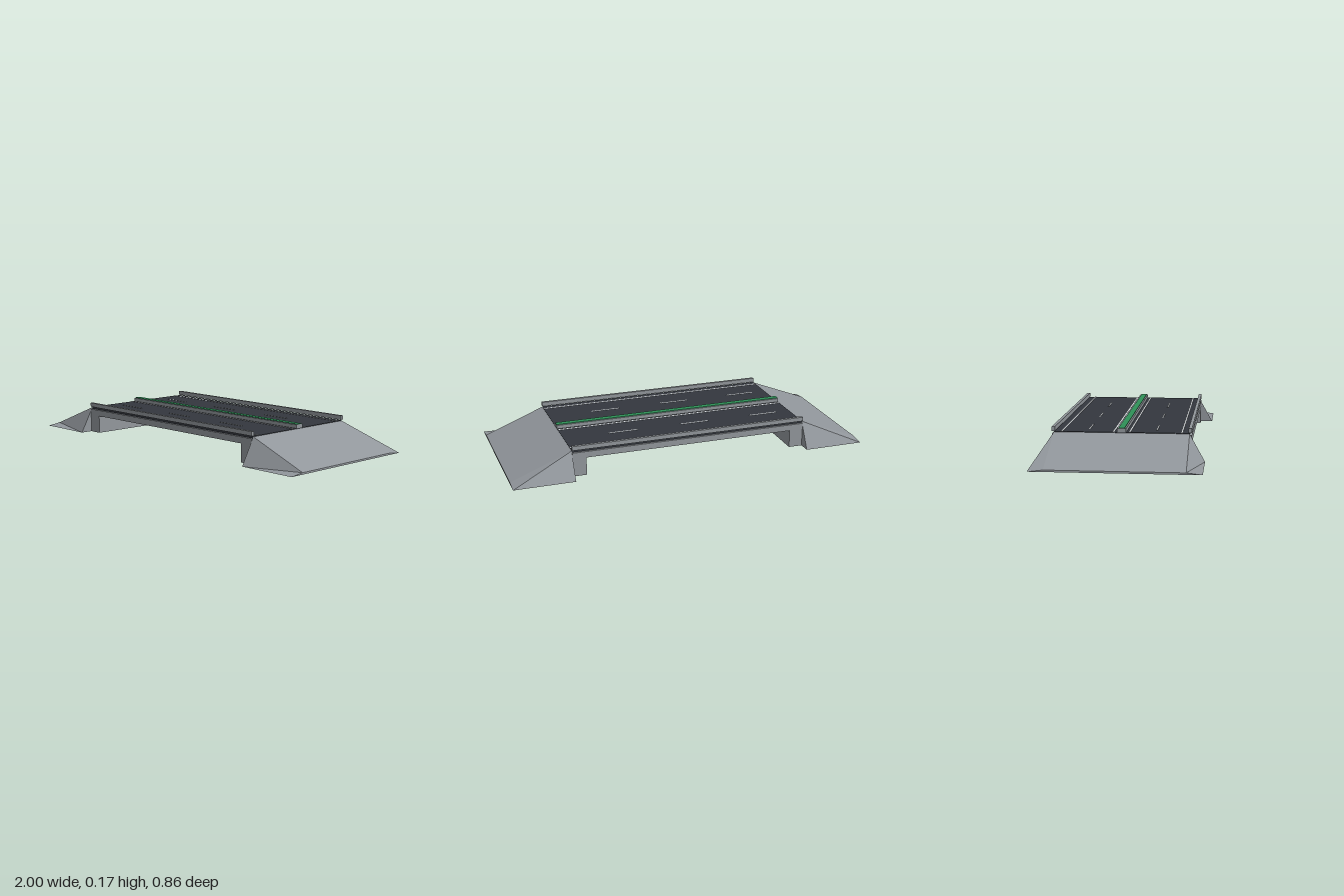
import * as THREE from 'three';

const mat = (name, color) => {
  const m = new THREE.MeshStandardMaterial({ color });
  m.name = name;
  return m;
};

// Embankment: two trapezoid cross-sections joined into a sloping wedge
function embankmentGeometry(side) {
  const top = 0.35, foot = 0.43;
  const section = (x, h) => [[x, 0, foot], [x, h, top], [x, h, -top], [x, 0, -foot]];
  const inner = section(side * 0.665, 0.143);
  const outer = section(side, 0.01);
  const pos = [];
  const quad = (a, b, c, d) => {
    const order = side > 0 ? [a, b, c, a, c, d] : [a, c, b, a, d, c];
    order.forEach((p) => pos.push(...p));
  };
  for (let i = 0; i < 4; i++) {
    const j = (i + 1) % 4;
    quad(inner[i], outer[i], outer[j], inner[j]);
  }
  quad(outer[0], outer[3], outer[2], outer[1]);
  quad(inner[0], inner[1], inner[2], inner[3]);
  const g = new THREE.BufferGeometry();
  g.setAttribute('position', new THREE.Float32BufferAttribute(pos, 3));
  g.computeVertexNormals();
  return g;
}

export function createModel() {
  const model = new THREE.Group();
  model.name = 'roadBridge';
  const concrete = mat('concrete', 0x92979c);
  const asphalt = mat('asphalt', 0x33373e);
  const paint = mat('roadPaint', 0xd8dce0);
  const grass = mat('grass', 0x2f9158);

  const add = (name, geometry, material) => {
    const mesh = new THREE.Mesh(geometry, material);
    mesh.name = name;
    model.add(mesh);
    return mesh;
  };
  // Box given by its limits on each axis
  const box = (name, material, [x0, x1], [y0, y1], [z0, z1]) => {
    const mesh = add(name, new THREE.BoxGeometry(x1 - x0, y1 - y0, z1 - z0), material);
    mesh.position.set((x0 + x1) / 2, (y0 + y1) / 2, (z0 + z1) / 2);
  };
  const span = [-0.665, 0.665];

  // Deck and road surface
  box('deck', concrete, span, [0.1, 0.134], [-0.362, 0.362]);
  box('roadSurface', asphalt, span, [0.134, 0.1455], [-0.35, 0.35]);

  // Central reservation with a planted strip
  box('median', concrete, span, [0.1455, 0.165], [-0.024, 0.024]);
  box('medianPlanting', grass, span, [0.165, 0.168], [-0.016, 0.016]);

  for (const s of [-1, 1]) {
    // Embankments and abutments at both ends
    add('embankment', embankmentGeometry(s), concrete);
    box('abutment', concrete, s > 0 ? [0.588, 0.665] : [-0.665, -0.588], [0, 0.1], [-0.36, 0.36]);

    // Rails along both edges
    const rail = s * 0.3535;
    box('rail', concrete, span, [0.148, 0.171], [rail - 0.0085, rail + 0.0085]);

    // Solid lane edge lines
    for (const z of [0.042, 0.31]) {
      box('edgeLine', paint, span, [0.1455, 0.147], [s * z - 0.005, s * z + 0.005]);
    }
    // Lane dashes
    for (let i = 0; i < 3; i++) {
      const x = -0.584 + i * 0.416;
      box('laneDash', paint, [x, x + 0.166], [0.1455, 0.147], [s * 0.177 - 0.004, s * 0.177 + 0.004]);
    }
  }
  return model;
}
